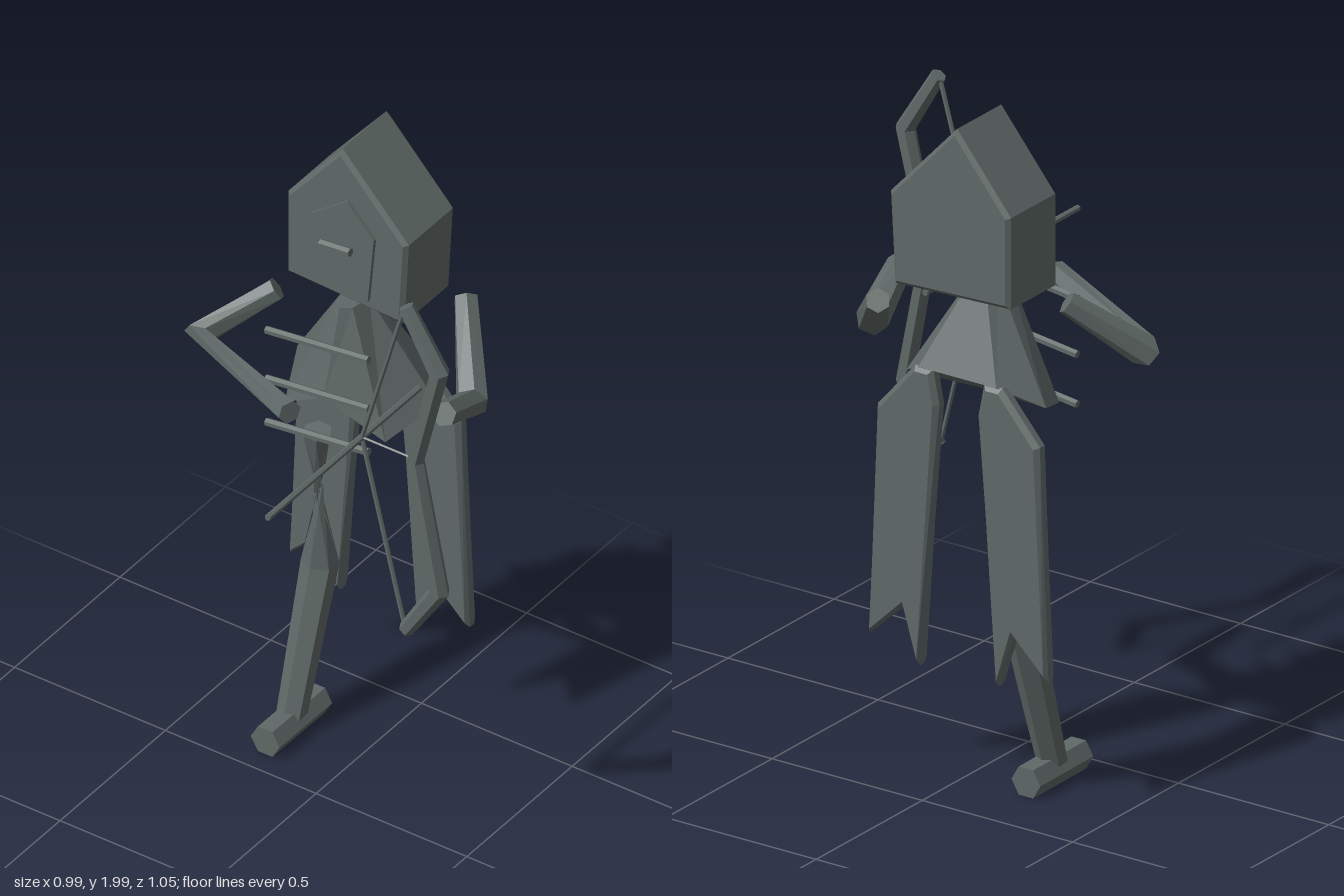
import * as THREE from 'three';

const cloth = new THREE.MeshStandardMaterial({ color: 0x5f6967, flatShading: true, side: THREE.DoubleSide });
cloth.name = 'slateGrey';

const V = (p) => new THREE.Vector3(...p);

function part(geometry, name) {
  const mesh = new THREE.Mesh(geometry, cloth);
  mesh.name = name;
  return mesh;
}

// Skin a list of equal-length point rings and close both ends
function loft(rings, startCap, endCap) {
  const pos = [];
  const tri = (a, b, c) => [a, b, c].forEach((p) => pos.push(p.x, p.y, p.z));
  const n = rings[0].length;
  const middle = (ring) => ring.reduce((s, p) => s.add(p), new THREE.Vector3()).divideScalar(n);
  const last = rings[rings.length - 1];
  const c0 = startCap || middle(rings[0]);
  const c1 = endCap || middle(last);
  for (let i = 0; i < n; i++) {
    const j = (i + 1) % n;
    for (let k = 0; k < rings.length - 1; k++) {
      const a = rings[k], b = rings[k + 1];
      tri(a[i], a[j], b[j]);
      tri(a[i], b[j], b[i]);
    }
    tri(c0, rings[0][j], rings[0][i]);
    tri(c1, last[i], last[j]);
  }
  const g = new THREE.BufferGeometry();
  g.setAttribute('position', new THREE.Float32BufferAttribute(pos, 3));
  g.computeVertexNormals();
  return g;
}

// Faceted limb along a polyline; each ring sits across the averaged direction
function limb(points, radii, { sides = 6, twist = [] } = {}) {
  const pts = points.map(V);
  let u = null;
  let turn = 0;
  const rings = pts.map((p, k) => {
    const t = new THREE.Vector3();
    if (k > 0) t.add(p.clone().sub(pts[k - 1]).normalize());
    if (k < pts.length - 1) t.add(pts[k + 1].clone().sub(p).normalize());
    t.normalize();
    if (!u) u = Math.abs(t.y) > 0.8 ? new THREE.Vector3(1, 0, 0) : new THREE.Vector3(0, 1, 0);
    u = u.clone().addScaledVector(t, -u.dot(t)).normalize();
    const w = t.clone().cross(u);
    turn += twist[k] || 0;
    return Array.from({ length: sides }, (_, i) => {
      const a = (i / sides) * Math.PI * 2 + turn;
      return p.clone().addScaledVector(u, Math.cos(a) * radii[k]).addScaledVector(w, Math.sin(a) * radii[k]);
    });
  });
  return loft(rings);
}

// Bevelled plate with an outline in x and y, between two depths
function plate(outline, zBack, zFront, bevel) {
  const shape = new THREE.Shape(outline.map((p) => new THREE.Vector2(...p)));
  const g = new THREE.ExtrudeGeometry(shape, {
    depth: zFront - zBack - 2 * bevel,
    bevelEnabled: bevel > 0, bevelSize: bevel, bevelThickness: bevel, bevelOffset: -bevel, bevelSegments: 1,
  });
  return g.translate(0, 0, zBack + bevel);
}

export function createModel() {
  const model = new THREE.Group();
  const add = (geometry, name) => model.add(part(geometry, name));

  // Hooded head, face plate and mouth bar
  add(plate([[-0.27, 1.51], [0.115, 1.495], [0.13, 1.765], [-0.09, 2.0], [-0.27, 1.78]], -0.475, -0.243, 0.012), 'hood');
  add(plate([[-0.185, 1.58], [0.02, 1.55], [0.04, 1.765], [-0.05, 1.86], [-0.175, 1.765]], -0.228, -0.216, 0), 'face');
  add(limb([[-0.12, 1.705, -0.192], [-0.02, 1.715, -0.192]], [0.013, 0.013]), 'faceBar');

  // Flared torso with a notched hem
  const hem = [
    [-0.07, 1.235, -0.135], [0.1, 1.127, -0.185], [0.163, 1.185, -0.345], [0.06, 1.25, -0.435],
    [-0.2, 1.25, -0.435], [-0.303, 1.185, -0.345], [-0.23, 1.127, -0.18],
  ].map(V);
  const neck = hem.map((p) => new THREE.Vector3(-0.065 + (p.x + 0.07) * 0.17, 1.5, -0.265 + (p.z + 0.285) * 0.4));
  add(loft([hem, neck], V([-0.07, 1.17, -0.3])), 'torso');

  // Fork-ended coat tails
  const tail = [[0.075, 1.25], [0.015, 1.25], [-0.005, 1.15], [0.06, 0.365], [0.115, 0.525], [0.228, 0.42], [0.2, 1.105]];
  add(plate(tail, -0.44, -0.39, 0.014), 'leftCoatTail');
  add(plate(tail.map(([x, y]) => [-0.14 - x, y]), -0.44, -0.39, 0.014), 'rightCoatTail');

  // Chest bars
  for (const y of [1.432, 1.267, 1.12]) {
    add(limb([[-0.24, y - 0.021, -0.108], [0.1, y + 0.021, -0.108]], [0.012, 0.012]), 'chestBar');
  }

  // Arms
  add(limb([[-0.29, 1.455, -0.23], [-0.455, 1.31, -0.1], [-0.012, 1.36, 0.108]], [0.034, 0.046, 0.035]), 'rightArm');
  add(limb([[0.148, 1.447, -0.5], [0.308, 1.282, -0.3], [0.347, 1.375, -0.11]], [0.035, 0.047, 0.037]), 'leftArm');

  // Single leg with a twisted thigh, and its foot
  add(limb([[-0.19, 0.985, -0.278], [-0.217, 0.5, -0.33], [-0.215, 0.05, -0.187]], [0.042, 0.053, 0.042],
    { twist: [0, 2.6, 0] }), 'leg');
  add(limb([[-0.215, 0.047, -0.316], [-0.215, 0.049, -0.066]], [0.048, 0.048], { twist: [Math.PI / 6] }), 'foot');

  // Bow, string and arrow
  add(limb([[0.355, 1.86, 0.08], [0.465, 1.68, 0.08], [0.385, 1.35, 0.078], [0.465, 0.94, 0.08], [0.355, 0.765, 0.08]],
    [0.023, 0.03, 0.026, 0.03, 0.023]), 'bow');
  add(limb([[0.345, 1.845, 0.076], [0.205, 1.35, 0.076], [0.345, 0.78, 0.076]], [0.007, 0.007, 0.007]), 'bowString');
  add(limb([[0.205, 1.35, -0.197], [0.205, 1.35, 0.525]], [0.0095, 0.0095]), 'arrow');

  // String grip running to the bow handle
  add(limb([[0.205, 1.35, 0.076], [0.36, 1.35, 0.076]], [0.004, 0.004], { sides: 4 }), 'arrowRest');

  return model;
}
